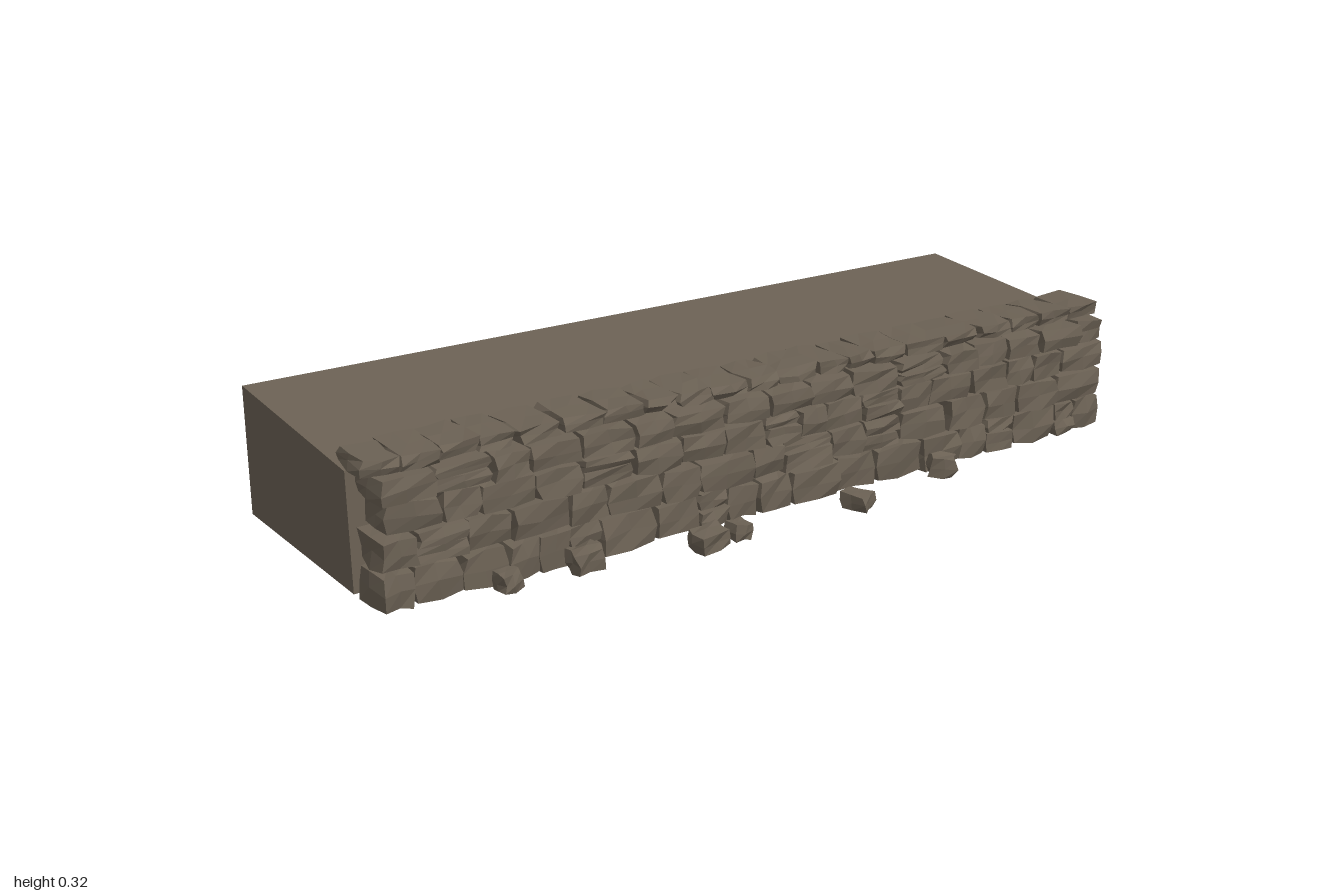
import * as THREE from 'three';

// small seeded generator so every stone differs but the wall stays repeatable
function seeded(seed) {
  let s = seed;
  return () => {
    s = (s * 1664525 + 1013904223) % 4294967296;
    return s / 4294967296;
  };
}

export function createModel() {
  const rand = seeded(4711);
  const jitter = (a) => (rand() * 2 - 1) * a;
  const earthStone = new THREE.MeshStandardMaterial({ color: 0x6b6154 });
  const model = new THREE.Group();
  model.name = 'drystoneTerrace';

  // Rough-hewn block: a subdivided box whose shared corners are nudged together,
  // with chipped corners and flat facets
  function stone(name, w, h, d, rough = 0.07) {
    const geo = new THREE.BoxGeometry(w, h, d, 2, 2, 2).toNonIndexed();
    const pos = geo.attributes.position;
    const moved = new Map();
    for (let i = 0; i < pos.count; i++) {
      const p = new THREE.Vector3().fromBufferAttribute(pos, i);
      const sides = [p.x / w, p.y / h, p.z / d].map((v) => Math.round(v * 2));
      const key = sides.join();
      if (!moved.has(key)) {
        const outer = sides.filter((v) => v !== 0).length;
        const shrink = outer === 3 ? 0.93 : outer === 2 ? 0.98 : 1.02;
        moved.set(key, new THREE.Vector3(
          p.x * shrink + jitter(rough * Math.min(w, 0.09)),
          p.y * shrink + jitter(rough * h),
          p.z * shrink + jitter(rough * Math.min(d, 0.09))
        ));
      }
      const q = moved.get(key);
      pos.setXYZ(i, q.x, q.y, q.z);
    }
    geo.computeVertexNormals();
    const mesh = new THREE.Mesh(geo, earthStone);
    mesh.name = name;
    return mesh;
  }

  // Split a run into random stone widths that exactly fill it
  function widths(length, min, max) {
    const list = [];
    let total = 0;
    while (total < length - min * 0.5) {
      const w = min + rand() * (max - min);
      list.push(w);
      total += w;
    }
    return list.map((w) => (w * length) / total);
  }

  // Sloping earth bank behind the wall
  const profile = new THREE.Shape([
    new THREE.Vector2(-0.138, 0.012),
    new THREE.Vector2(0.385, 0.012),
    new THREE.Vector2(0.385, 0.312),
    new THREE.Vector2(-0.13, 0.275),
  ]);
  const bankGeo = new THREE.ExtrudeGeometry(profile, { depth: 1.975, bevelEnabled: false });
  bankGeo.rotateY(Math.PI / 2);
  bankGeo.translate(-0.995, 0, 0);
  const bank = new THREE.Mesh(bankGeo, earthStone);
  bank.name = 'earthBank';
  model.add(bank);

  // Wall courses, each stepping slightly back towards the bank
  const courses = [
    { y0: 0.009, y1: 0.09, z0: 0.156, z1: 0.264, x0: -0.99, x1: 0.98 },
    { y0: 0.092, y1: 0.163, z0: 0.152, z1: 0.264, x0: -0.985, x1: 0.97 },
    { y0: 0.165, y1: 0.229, z0: 0.147, z1: 0.26, x0: -0.965, x1: 0.975 },
    { y0: 0.23, y1: 0.284, z0: 0.138, z1: 0.254, x0: -0.98, x1: 0.98 },
  ];
  courses.forEach((c, n) => {
    const row = new THREE.Group();
    row.name = 'wallCourse' + (n + 1);
    let x = c.x0;
    for (const w of widths(c.x1 - c.x0, 0.07, 0.145)) {
      // some places hold two thin stones instead of one tall block
      const cut = rand() < 0.16 ? 0.4 + rand() * 0.25 : 1;
      const parts = cut < 1 ? [[0, cut], [cut, 1]] : [[0, 1]];
      for (const [a, b] of parts) {
        const h = (c.y1 - c.y0) * (b - a);
        const d = c.z1 - c.z0 - rand() * 0.012;
        const s = stone('wallStone', w * 0.985, h * 0.98, d);
        s.position.set(x + w / 2, c.y0 + (c.y1 - c.y0) * (a + b) / 2, c.z0 + d / 2);
        s.rotation.set(0, jitter(0.04), jitter(0.025));
        row.add(s);
      }
      x += w;
    }
    model.add(row);
  });

  // Flat coping stones reaching back over the bank edge
  const coping = new THREE.Group();
  coping.name = 'copingCourse';
  let x = -0.995;
  for (const w of widths(1.99, 0.075, 0.115)) {
    const s = stone('copingStone', w * 0.98, 0.032, 0.13 + jitter(0.005), 0.09);
    s.position.set(x + w / 2, 0.3 + jitter(0.002), 0.15 + jitter(0.003));
    s.rotation.set(jitter(0.03), jitter(0.05), jitter(0.05));
    coping.add(s);
    x += w;
  }
  model.add(coping);

  // Fallen rubble at the foot: x, z, width, height, depth, turn
  const rubble = new THREE.Group();
  rubble.name = 'fallenRubble';
  [
    [-0.72, 0.28, 0.045, 0.04, 0.055, 0.05],
    [-0.54, 0.288, 0.065, 0.05, 0.055, -0.08],
    [-0.26, 0.336, 0.078, 0.042, 0.058, 0.05],
    [-0.18, 0.33, 0.045, 0.038, 0.05, 0],
    [0.14, 0.338, 0.046, 0.04, 0.064, 0.45],
    [0.43, 0.292, 0.062, 0.048, 0.052, -0.6],
  ].forEach(([px, pz, w, h, d, turn]) => {
    const s = stone('rubbleStone', w, h, d, 0.1);
    s.position.set(px, h / 2 + 0.005, pz);
    s.rotation.set(jitter(0.12), turn, jitter(0.1));
    rubble.add(s);
  });
  model.add(rubble);

  return model;
}
